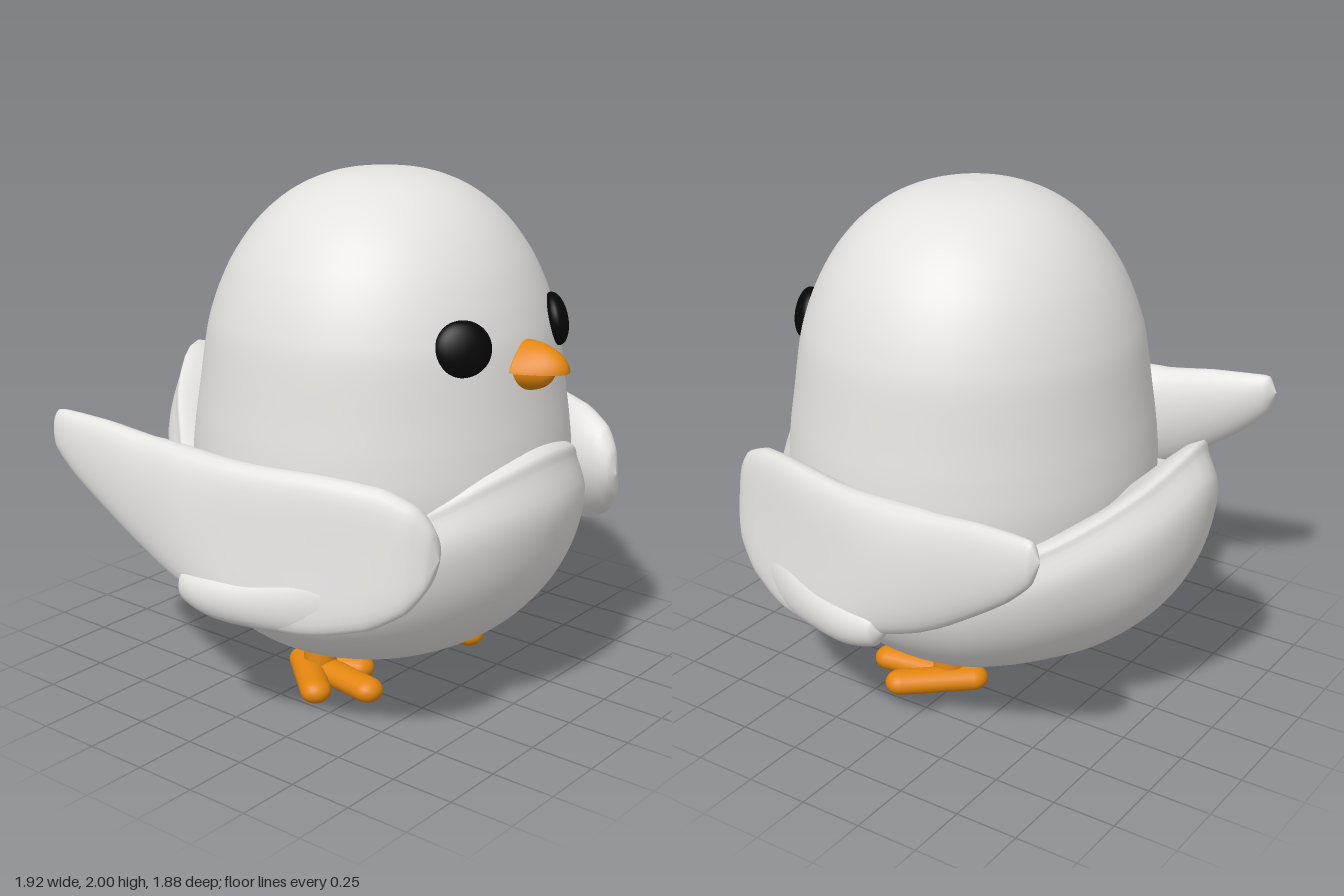
import * as THREE from 'three';

const white = new THREE.MeshStandardMaterial({ name: 'plumage', color: 0xe4e2df });
const orange = new THREE.MeshStandardMaterial({ name: 'beakOrange', color: 0xe2850f });
const black = new THREE.MeshStandardMaterial({ name: 'eyeBlack', color: 0x060606 });

const V = (x, y, z) => new THREE.Vector3(x, y, z);

function add(parent, name, geometry, material) {
  const mesh = new THREE.Mesh(geometry, material);
  mesh.name = name;
  parent.add(mesh);
  return mesh;
}

// Smooth skin over closed rings that all have the same number of points
function loft(rings) {
  const n = rings[0].length, index = [];
  for (let r = 0; r < rings.length - 1; r++) {
    for (let i = 0; i < n; i++) {
      const a = r * n + i, b = r * n + (i + 1) % n;
      index.push(a, b, a + n, b, b + n, a + n);
    }
  }
  const geometry = new THREE.BufferGeometry().setFromPoints(rings.flat());
  geometry.setIndex(index);
  geometry.computeVertexNormals();
  return geometry;
}

// Upper body: a tall dome that flares gently downward
function headGeometry() {
  const profile = new THREE.SplineCurve([
    [0.4, 0.35], [0.64, 0.5], [0.725, 0.7], [0.745, 0.9], [0.734, 1.05], [0.712, 1.2],
    [0.682, 1.4], [0.655, 1.5], [0.616, 1.6], [0.563, 1.7], [0.488, 1.8], [0.401, 1.88],
    [0.298, 1.942], [0.17, 1.984], [0, 2],
  ].map(([r, y]) => new THREE.Vector2(r, y)));
  return new THREE.LatheGeometry(profile.getPoints(70), 64).scale(1, 1, 0.97).translate(0, 0, 0.107);
}

// Bowl belly: each column rises from the bottom, bulges, rolls over the rim and tucks in
function bellyGeometry() {
  // x, z and height of the widest line, rim height, rim inset, tuck inset, tuck height
  const half = [
    [0, 0.92, 0.85, 1.035, 0.93, 0.8, 1.06],
    [0.3, 0.845, 0.82, 0.985, 0.94, 0.8, 1.01],
    [0.55, 0.635, 0.73, 0.86, 0.95, 0.8, 0.89],
    [0.705, 0.34, 0.65, 0.79, 0.97, 0.8, 0.81],
    [0.745, 0.05, 0.61, 0.74, 0.98, 0.8, 0.76],
    [0.685, -0.25, 0.62, 0.75, 0.96, 0.8, 0.75],
    [0.55, -0.485, 0.68, 0.81, 0.95, 0.76, 0.79],
    [0.395, -0.67, 0.77, 0.91, 0.94, 0.72, 0.83],
    [0.215, -0.85, 0.9, 1.06, 0.94, 0.66, 0.86],
    [0, -0.945, 1.02, 1.18, 0.94, 0.6, 0.88],
  ];
  const full = half.concat(half.slice(1, -1).reverse().map(([x, ...rest]) => [-x, ...rest]));
  const spline = (i, j, k) => new THREE.CatmullRomCurve3(
    full.map((c) => V(c[i], c[j], c[k])), true, 'catmullrom', 0.5);
  const wide = spline(0, 2, 1), rim = spline(3, 4, 5), tuck = spline(6, 6, 6);
  const columns = [], n = 72, base = 0.09, cz = 0.05;
  for (let i = 0; i < n; i++) {
    // the three curves share their parameter, so the same t means the same column
    const w = wide.getPoint(i / n), r = rim.getPoint(i / n), t = tuck.getPoint(i / n);
    const at = (s, y) => V(w.x * s, y, cz + (w.z - cz) * s);
    const points = [];
    for (let k = 0; k <= 8; k++) {
      const a = k / 8 * Math.PI / 2;
      points.push(at(Math.sin(a) ** 0.96, base + (w.y - base) * (1 - Math.cos(a))));
    }
    points.push(at(0.3 + 0.7 * r.y, w.y + (r.x - w.y) * 0.72), at(r.y, r.x), at(r.z, t.x));
    columns.push(new THREE.CatmullRomCurve3(points).getPoints(44));
  }
  return loft(columns[0].map((_, k) => columns.map((c) => c[k])));
}

// Flat feather: stations are z, x, y, half height, half thickness, outward bend of the lower edge
function featherGeometry(stations, side) {
  const a = new THREE.CatmullRomCurve3(stations.map((s) => V(s[1], s[2], s[0])));
  const b = new THREE.CatmullRomCurve3(stations.map((s) => V(s[3], s[4], s[5])));
  const rings = [], rows = 55, n = 32;
  for (let r = 0; r <= rows; r++) {
    const c = a.getPoint(r / rows), d = b.getPoint(r / rows), ring = [];
    const h = Math.max(d.x, 0), t = Math.max(d.y, 0);
    for (let i = 0; i < n; i++) {
      const angle = side * i / n * Math.PI * 2;
      const v = -Math.sin(angle);
      const bend = d.z * h * (0.6 * v * v - 0.4 * v);
      ring.push(V(side * (c.x + Math.cos(angle) * t + bend), c.y + v * h, c.z));
    }
    rings.push(ring);
  }
  return loft(rings);
}

const mainFeather = [
  [0.815, 0.585, 0.79, 0, 0, 0.35], [0.795, 0.59, 0.79, 0.1, 0.04, 0.35],
  [0.74, 0.605, 0.785, 0.185, 0.075, 0.35], [0.62, 0.64, 0.775, 0.25, 0.1, 0.38],
  [0.4, 0.715, 0.765, 0.285, 0.11, 0.38], [0.1, 0.79, 0.775, 0.28, 0.115, 0.35],
  [-0.1, 0.815, 0.81, 0.255, 0.115, 0.25], [-0.3, 0.835, 0.85, 0.225, 0.09, 0.12],
  [-0.5, 0.86, 0.925, 0.175, 0.07, 0.1], [-0.65, 0.88, 0.985, 0.125, 0.055, 0.1],
  [-0.74, 0.895, 1.03, 0.08, 0.035, 0.1], [-0.775, 0.9, 1.045, 0, 0, 0.1],
];
const lowerFeather = [
  [0.68, 0.69, 0.68, 0, 0, 0.2], [0.58, 0.715, 0.635, 0.09, 0.055, 0.2],
  [0.42, 0.775, 0.595, 0.11, 0.075, 0.2], [0.2, 0.84, 0.565, 0.1, 0.085, 0.1],
  [0.02, 0.88, 0.565, 0.09, 0.08, 0], [-0.08, 0.89, 0.575, 0.07, 0.06, 0],
  [-0.125, 0.895, 0.58, 0, 0, 0],
];

// Half of a beak: a ball flattened on one side, narrowed toward its crest and tip
function beakGeometry(up, taper) {
  const geometry = new THREE.SphereGeometry(1, 32, 24);
  const p = geometry.attributes.position;
  for (let i = 0; i < p.count; i++) {
    const y = p.getY(i), z = Math.max(p.getZ(i), 0);
    if (y * up < 0) p.setY(i, y * 0.05);
    p.setX(i, p.getX(i) * (1 - taper * Math.abs(p.getY(i))) * (1 - 0.25 * z));
  }
  geometry.computeVertexNormals();
  return geometry;
}

// Foot with three plump toes spreading from the heel, and a short leg
function makeFoot(side) {
  const foot = new THREE.Group();
  foot.name = side > 0 ? 'leftFoot' : 'rightFoot';
  const hx = 0.275, hz = -0.07;
  for (const [x, z] of [[0.2, 0.15], [0.335, 0.3], [0.465, 0.15]]) {
    const geometry = new THREE.CapsuleGeometry(0.06, Math.hypot(x - hx, z - hz), 8, 20);
    const toe = add(foot, 'toe', geometry.rotateX(Math.PI / 2).scale(1, 0.8, 1), orange);
    toe.position.set(side * (x + hx) / 2, 0.052, (z + hz) / 2);
    toe.rotation.y = side * Math.atan2(x - hx, z - hz);
  }
  add(foot, 'leg', new THREE.CylinderGeometry(0.062, 0.07, 0.09, 20), orange)
    .position.set(side * 0.295, 0.09, 0.03);
  return foot;
}

export function createModel() {
  const model = new THREE.Group();
  model.name = 'chubbyBird';
  add(model, 'head', headGeometry(), white);
  add(model, 'bellyAndTail', bellyGeometry(), white);

  const upper = add(model, 'upperBeak', beakGeometry(1, 0.35), orange);
  upper.scale.set(0.12, 0.1, 0.17);
  upper.position.set(0, 1.345, 0.768);
  const lower = add(model, 'lowerBeak', beakGeometry(-1, 0.1), orange);
  lower.scale.set(0.1, 0.075, 0.11);
  lower.position.set(0, 1.337, 0.768);

  for (const side of [1, -1]) {
    const eye = add(model, side > 0 ? 'leftEye' : 'rightEye', new THREE.SphereGeometry(0.106, 32, 24), black);
    eye.scale.set(1, 0.95, 0.46);
    eye.position.set(side * 0.295, 1.455, 0.69);
    eye.rotation.set(-0.2, side * 0.66, 0, 'YXZ');

    const wing = new THREE.Group();
    wing.name = side > 0 ? 'leftWing' : 'rightWing';
    add(wing, 'mainFeather', featherGeometry(mainFeather, side), white);
    add(wing, 'lowerFeather', featherGeometry(lowerFeather, side), white);
    model.add(wing, makeFoot(side));
  }
  return model;
}
